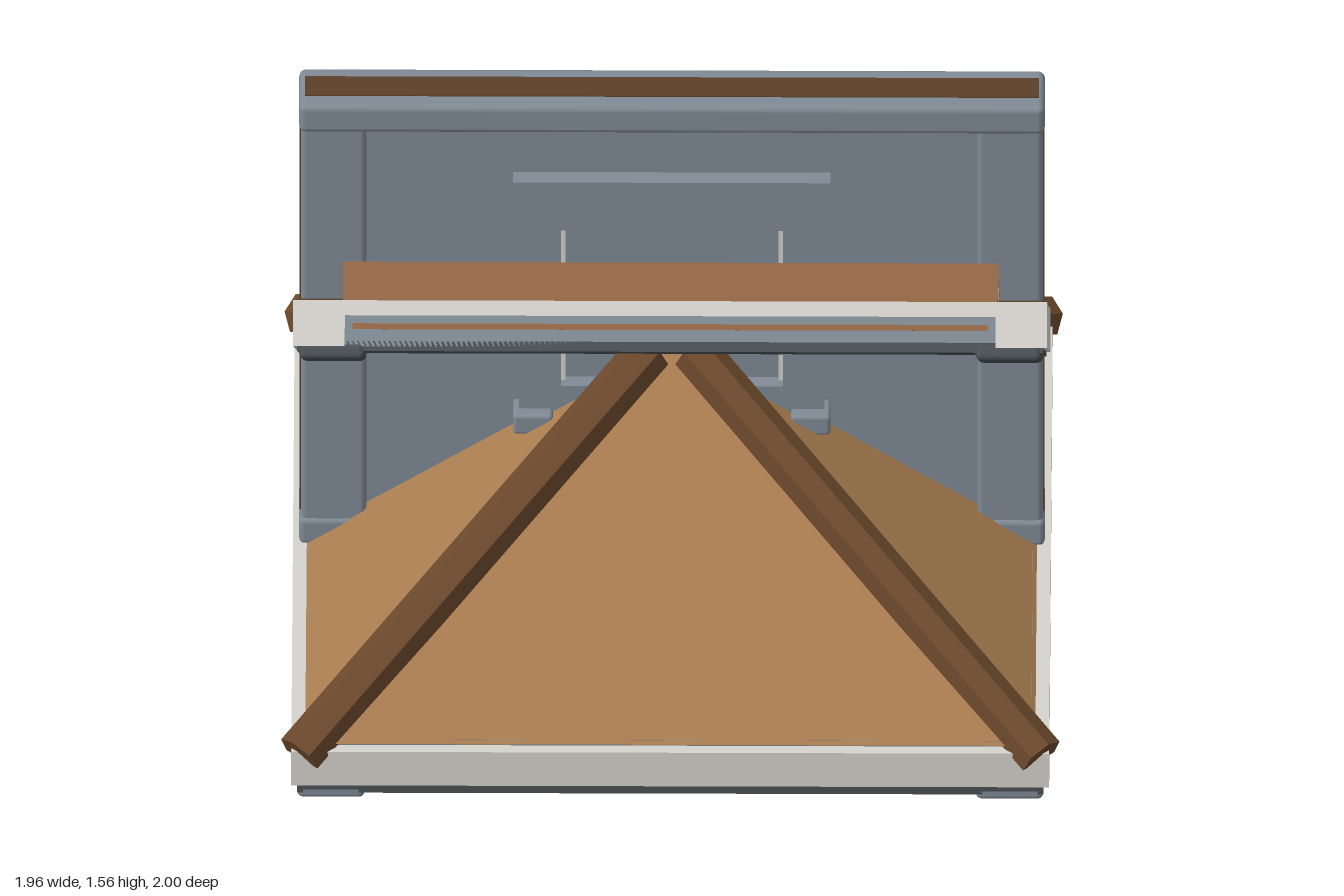
import * as THREE from 'three';
import { RoundedBoxGeometry } from 'three/addons/geometries/RoundedBoxGeometry.js';

const mat = (color) => new THREE.MeshStandardMaterial({ color });
const M = {
  white: mat(0xd6d3cd), steel: mat(0x7f8b95), dark: mat(0x4a5054),
  tread: mat(0x966846), board: mat(0x5c4029), hip: mat(0x6b482c), roof: mat(0xa97c50),
};

// Box given by its min and max on each axis; r rounds the edges.
function box(parent, name, material, [x0, x1], [y0, y1], [z0, z1], r = 0) {
  const size = [x1 - x0, y1 - y0, z1 - z0];
  const geo = r ? new RoundedBoxGeometry(...size, 2, r) : new THREE.BoxGeometry(...size);
  const mesh = new THREE.Mesh(geo, material);
  mesh.position.set((x0 + x1) / 2, (y0 + y1) / 2, (z0 + z1) / 2);
  mesh.name = name;
  parent.add(mesh);
  return mesh;
}

// The same box on the left and on the right.
function pair(parent, name, material, [x0, x1], y, z, r) {
  box(parent, name + 'Left', material, [x0, x1], y, z, r);
  box(parent, name + 'Right', material, [-x1, -x0], y, z, r);
}

function group(parent, name) {
  const g = new THREE.Group();
  g.name = name;
  parent.add(g);
  return g;
}

function buildFloor(root) {
  const g = group(root, 'floor');
  box(g, 'floorSlab', M.white, [-0.955, 0.955], [0.05, 0.155], [-0.945, 0.94]);
  box(g, 'floorUnderside', M.dark, [-0.94, 0.94], [0.02, 0.05], [-0.94, 0.93]);
  pair(g, 'floorSkid', M.steel, [0.77, 0.94], [0, 0.045], [-0.95, 0.93], 0.015);
  box(g, 'floorTopPlate', M.steel, [-0.91, 0.91], [0.155, 0.172], [-0.9, 0.91]);
}

function buildRoof(root) {
  const g = group(root, 'roof');
  // Four-sided pyramid with a cut-off tip
  const geo = new THREE.CylinderGeometry(0.03 * Math.SQRT2, 0.92 * Math.SQRT2, 0.595, 4, 1).toNonIndexed();
  geo.rotateY(Math.PI / 4);
  geo.computeVertexNormals();
  const panels = new THREE.Mesh(geo, M.roof);
  panels.position.y = 0.165 + 0.595 / 2;
  panels.name = 'roofPanels';
  g.add(panels);

  // Folded hip beams along the four edges
  const section = new THREE.Shape([
    [-0.055, -0.07], [-0.05, -0.015], [0, 0.01], [0.05, -0.015], [0.055, -0.07], [0.04, -0.07], [0, -0.035], [-0.04, -0.07],
  ].map(([x, y]) => new THREE.Vector2(x, y)));
  for (const sx of [-1, 1]) for (const sz of [-1, 1]) {
    const low = new THREE.Vector3(0.95 * sx, 0.185, 0.95 * sz);
    const high = new THREE.Vector3(0.07 * sx, 0.805, 0.07 * sz);
    const beam = new THREE.Mesh(
      new THREE.ExtrudeGeometry(section, { depth: low.distanceTo(high), bevelEnabled: false }), M.hip);
    beam.position.copy(low);
    beam.lookAt(high);
    beam.name = 'hipBeam';
    g.add(beam);
  }
}

function buildWall(root) {
  const g = group(root, 'wall');
  g.position.z = -0.017;
  box(g, 'wallPanel', M.steel, [-0.8, 0.8], [0.16, 1.48], [-0.045, 0.045]);
  pair(g, 'wallPost', M.steel, [0.77, 0.935], [0.16, 1.48], [-0.077, 0.077], 0.015);
  pair(g, 'wallFoot', M.steel, [0.765, 0.94], [0.16, 0.24], [-0.085, 0.085], 0.015);
  box(g, 'wallCap', M.steel, [-0.94, 0.94], [1.445, 1.532], [-0.085, 0.085], 0.018);
  box(g, 'wallSill', M.steel, [-0.8, 0.8], [0.16, 0.22], [-0.065, 0.065]);
  // Timber core showing on the top and the ends
  box(g, 'topCore', M.board, [-0.925, 0.925], [1.5, 1.535], [-0.04, 0.04]);
  pair(g, 'endCore', M.board, [0.9, 0.939], [0.24, 1.445], [-0.04, 0.04]);

  // Framed window on both faces
  const win = group(g, 'window');
  pair(win, 'windowJamb', M.steel, [0.28, 0.385], [0.55, 1.28], [-0.085, 0.085]);
  box(win, 'windowHead', M.steel, [-0.4, 0.4], [1.15, 1.3], [-0.09, 0.09]);
  box(win, 'windowBottom', M.steel, [-0.385, 0.385], [0.55, 0.66], [-0.085, 0.085]);
  pair(win, 'windowFoot', M.steel, [0.3, 0.4], [0.53, 0.59], [-0.118, 0.118], 0.01);
  pair(win, 'windowTrim', M.white, [0.268, 0.28], [0.66, 1.15], [-0.06, 0.06]);
  box(win, 'windowTopTrim', M.white, [-0.28, 0.28], [1.138, 1.15], [-0.06, 0.06]);
}

function buildStairs(root) {
  const g = group(root, 'stairs');
  // Sloping tray, built flat and tilted
  const tray = group(g, 'stairTray');
  tray.position.set(0, 0.798, 0);
  tray.rotation.x = -0.6385;
  const L = 1.2;
  pair(tray, 'stringer', M.white, [0.82, 0.95], [-0.058, 0.052], [-L, L]);
  pair(tray, 'sideBoard', M.board, [0.825, 0.94], [0.05, 0.062], [-L + 0.01, L - 0.07]);
  box(tray, 'trayBottom', M.dark, [-0.94, 0.94], [-0.07, -0.045], [-L + 0.015, L - 0.01]);
  pair(tray, 'traySkid', M.dark, [0.77, 0.935], [-0.09, -0.05], [-L + 0.02, L - 0.005], 0.015);
  box(tray, 'lowerEnd', M.white, [-0.83, 0.83], [-0.058, 0.052], [-L, -L + 0.04]);
  box(tray, 'upperEnd', M.steel, [-0.83, 0.83], [-0.058, 0.03], [L - 0.04, L - 0.01]);
  box(tray, 'upperEndCore', M.tread, [-0.8, 0.8], [-0.015, 0], [L - 0.03, L - 0.004]);
  box(tray, 'upperLip', M.white, [-0.95, 0.95], [0.02, 0.058], [L - 0.045, L]);

  // Ten treads with risers and small brackets
  for (let i = 0; i < 10; i++) {
    const z = -0.965 + 0.187 * i;
    const y = 0.265 + 0.14 * i;
    box(g, 'tread', M.tread, [-0.825, 0.825], [y - 0.022, y], [z, z + (i < 9 ? 0.215 : 0.18)]);
    box(g, 'riser', M.white, [-0.825, 0.825], [y - 0.145, y - 0.02], [z + 0.022, z + 0.032]);
    pair(g, 'treadBracket', M.steel, [0.78, 0.825], [y - 0.05, y - 0.022], [z - 0.006, z + 0.025]);
  }
}

export function createModel() {
  const root = new THREE.Group();
  root.name = 'buildingPieces';
  buildFloor(root);
  buildRoof(root);
  buildWall(root);
  buildStairs(root);
  return root;
}
